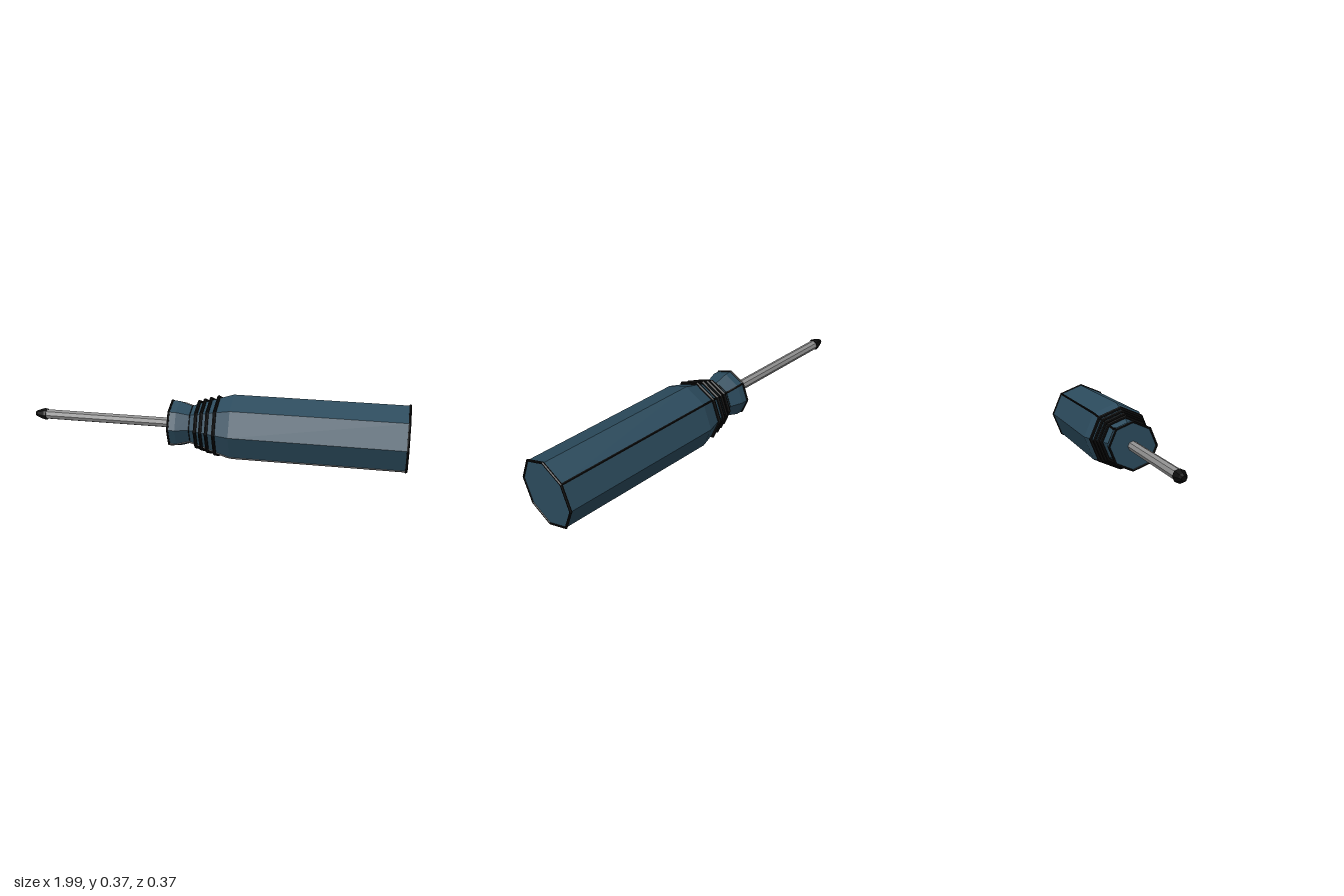
import * as THREE from 'three';

const AXIS_Y = 0.184;
const SIDES = 8;

export function createModel() {
  const model = new THREE.Group();
  const mat = (color) => new THREE.MeshStandardMaterial({ color, flatShading: true });
  const blue = mat(0x2b4a5c), black = mat(0x0a0a0a), steel = mat(0x8f8f8f);

  const add = (name, geometry, material, x = 0) => {
    const mesh = new THREE.Mesh(geometry, material);
    mesh.name = name;
    mesh.position.set(x, AXIS_Y, 0);
    model.add(mesh);
    return mesh;
  };

  // Eight-sided solid along x from [x, radius] pairs
  const turned = (name, profile, material) => {
    const points = profile.map(([x, r]) => new THREE.Vector2(r, x));
    return add(name, new THREE.LatheGeometry(points, SIDES).rotateZ(-Math.PI / 2), material);
  };

  // Eight-sided black band around the x axis
  const band = (name, x, radius, tube) =>
    add(name, new THREE.TorusGeometry(radius, tube, 6, SIDES).rotateY(Math.PI / 2), black, x);

  // Handle with flared collar, narrow neck and long grip
  const outline = [[-0.228, 0.124], [-0.19, 0.124], [-0.12, 0.102], [-0.095, 0.112],
    [0.03, 0.155], [0.1, 0.177], [0.99, 0.177]];
  turned('handle', [[-0.228, 0], ...outline, [0.99, 0]], blue);

  // Rims at both ends of the handle
  band('endRim', 0.988, 0.177, 0.007);
  band('collarRim', -0.228, 0.124, 0.006);
  band('neckLine', -0.12, 0.101, 0.003);

  // Grip rings, growing towards the handle
  [[-0.083, 0.128], [-0.053, 0.138], [-0.02, 0.149], [0.02, 0.16]].forEach(([x, r], i) =>
    band('gripRing' + (i + 1), x, r, 0.009));

  // Dark seams along two opposite edges
  const seam = (name, sign, tube) => {
    const path = new THREE.CurvePath();
    const points = outline.map(([x, r]) =>
      new THREE.Vector3(x, sign * r * Math.SQRT1_2, -sign * r * Math.SQRT1_2));
    for (let i = 1; i < points.length; i++) path.add(new THREE.LineCurve3(points[i - 1], points[i]));
    add(name, new THREE.TubeGeometry(path, 48, tube, 5, false), black);
  };
  seam('upperSeam', 1, 0.006);
  seam('lowerSeam', -1, 0.004);

  // Steel shaft and dark tapered tip
  turned('shaft', [[-0.945, 0], [-0.945, 0.027], [-0.22, 0.027], [-0.22, 0]], steel);
  turned('tip', [[-1, 0], [-1, 0.012], [-0.985, 0.02], [-0.948, 0.033], [-0.936, 0.031], [-0.936, 0]], black);

  return model;
}
